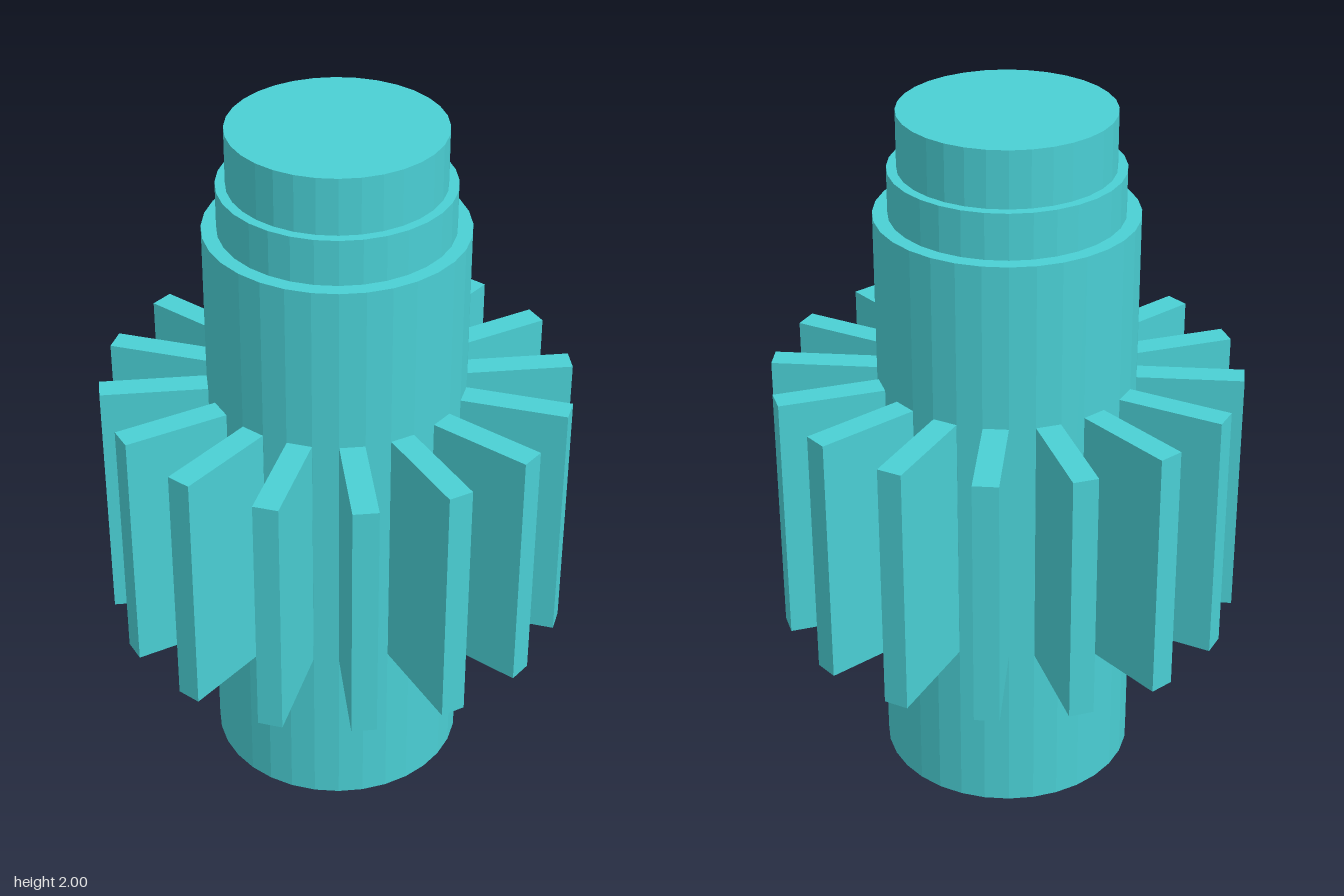
import * as THREE from 'three';

export function createModel() {
  const group = new THREE.Group();
  const teal = new THREE.MeshStandardMaterial({ color: 0x4acfd4 });
  teal.name = 'teal';
  teal.flatShading = true;

  // Stepped shaft: [name, radius, bottom, top]
  const sections = [
    ['shaft', 0.363, 0, 1.71],
    ['collar', 0.322, 1.71, 1.84],
    ['cap', 0.295, 1.84, 2],
  ];
  for (const [name, radius, bottom, top] of sections) {
    const mesh = new THREE.Mesh(new THREE.CylinderGeometry(radius, radius, top - bottom, 32), teal);
    mesh.name = name;
    mesh.position.y = (bottom + top) / 2;
    group.add(mesh);
  }

  // Ring of radial fins, rooted slightly inside the shaft
  const fins = new THREE.Group();
  fins.name = 'fins';
  const count = 16, inner = 0.34, outer = 0.66, finBottom = 0.505, finTop = 1.238;
  const finGeometry = new THREE.BoxGeometry(outer - inner, finTop - finBottom, 0.07);
  finGeometry.translate((inner + outer) / 2, (finBottom + finTop) / 2, 0);
  for (let i = 0; i < count; i++) {
    const fin = new THREE.Mesh(finGeometry, teal);
    fin.name = 'fin';
    fin.rotation.y = ((i + 0.25) / count) * Math.PI * 2;
    fins.add(fin);
  }
  group.add(fins);
  return group;
}
